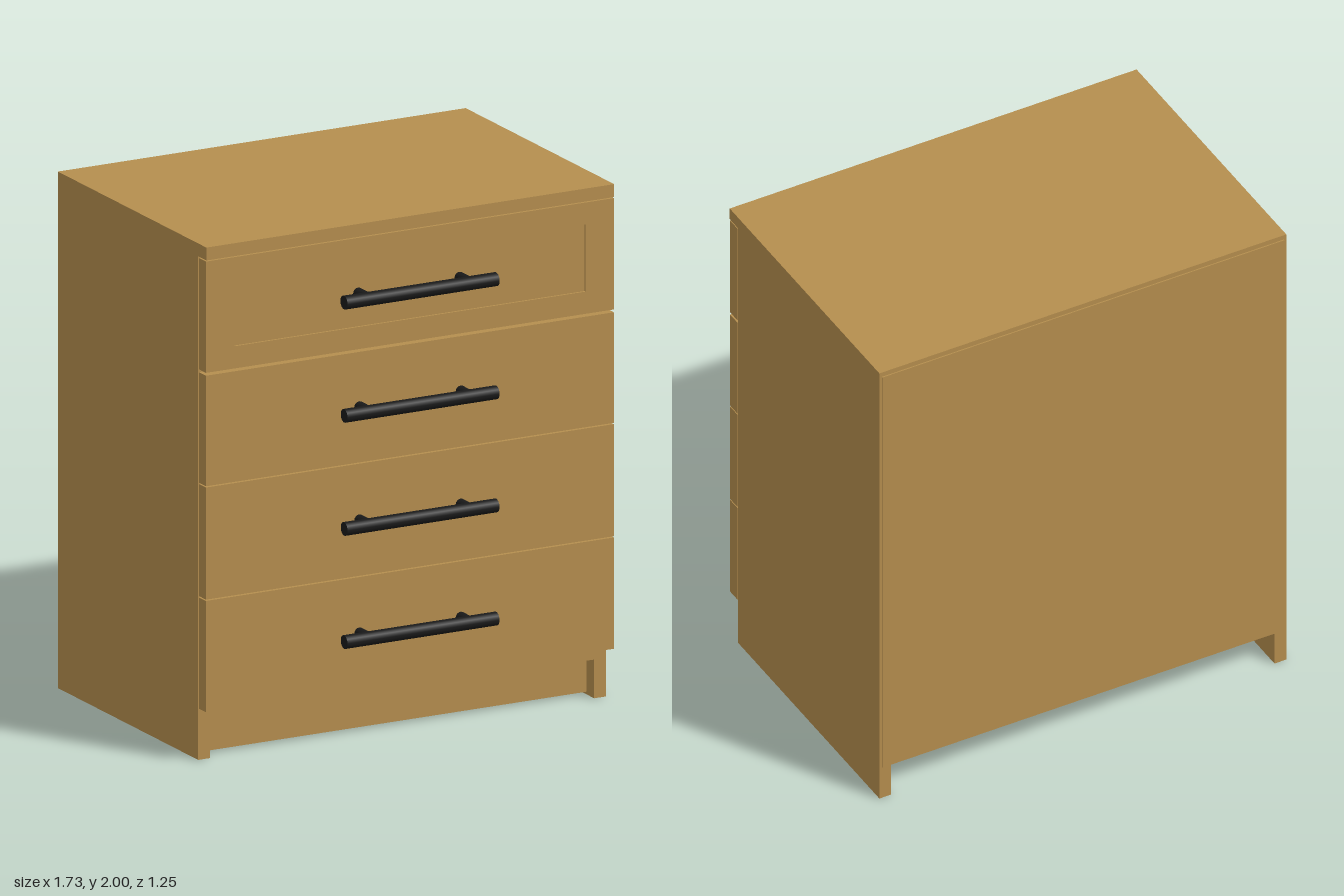
import * as THREE from 'three';

const wood = new THREE.MeshStandardMaterial({ color: 0xb58e4e });
const black = new THREE.MeshStandardMaterial({ color: 0x1a1a1a });

// Box given by its lower and upper limits on each axis
function board(name, [x0, x1], [y0, y1], [z0, z1]) {
  const mesh = new THREE.Mesh(new THREE.BoxGeometry(x1 - x0, y1 - y0, z1 - z0), wood);
  mesh.position.set((x0 + x1) / 2, (y0 + y1) / 2, (z0 + z1) / 2);
  mesh.name = name;
  return mesh;
}

// Round bar on two posts, origin on the drawer face
function makeHandle() {
  const handle = new THREE.Group();
  handle.name = 'handle';
  const bar = new THREE.Mesh(new THREE.CylinderGeometry(0.026, 0.026, 0.645, 20), black);
  bar.name = 'handleBar';
  bar.rotation.z = Math.PI / 2;
  bar.position.z = 0.079;
  handle.add(bar);
  for (const side of [-1, 1]) {
    const post = new THREE.Mesh(new THREE.CylinderGeometry(0.021, 0.021, 0.08, 16), black);
    post.name = 'handlePost';
    post.rotation.x = Math.PI / 2;
    post.position.set(side * 0.215, 0, 0.04);
    handle.add(post);
  }
  return handle;
}

// Drawer front with a shallow rectangular recess
function recessedFront(y0, y1) {
  const shape = new THREE.Shape();
  shape.moveTo(-0.865, y0).lineTo(0.865, y0).lineTo(0.865, y1).lineTo(-0.865, y1).closePath();
  const hole = new THREE.Path();
  hole.moveTo(-0.745, 1.6).lineTo(-0.745, 1.86).lineTo(0.745, 1.86).lineTo(0.745, 1.6).closePath();
  shape.holes.push(hole);
  const frame = new THREE.Mesh(
    new THREE.ExtrudeGeometry(shape, { depth: 0.055, bevelEnabled: false }), wood);
  frame.name = 'drawerFrontFrame';
  frame.position.z = 0.465;
  const front = new THREE.Group();
  front.name = 'drawerFront';
  front.add(frame, board('recessPanel', [-0.745, 0.745], [1.6, 1.86], [0.465, 0.511]));
  return front;
}

export function createModel() {
  const model = new THREE.Group();
  model.name = 'chestOfDrawers';

  // Carcass
  const carcass = new THREE.Group();
  carcass.name = 'carcass';
  carcass.add(
    board('topPanel', [-0.865, 0.865], [1.95, 2], [-0.62, 0.523]),
    board('leftSide', [0.815, 0.865], [0, 1.95], [-0.62, 0.46]),
    board('rightSide', [-0.865, -0.815], [0, 1.95], [-0.62, 0.46]),
    board('bottomPanel', [-0.815, 0.815], [0.15, 0.2], [-0.62, 0.46]),
    board('plinth', [-0.815, 0.815], [0.01, 0.15], [0.35, 0.4]),
    board('backPanel', [-0.855, 0.855], [0.145, 1.98], [-0.625, -0.62]),
  );
  model.add(carcass);

  // Four drawers, bottom to top
  [[0.2, 0.631], [0.636, 1.07], [1.075, 1.503], [1.514, 1.945]].forEach(([y0, y1], i) => {
    const drawer = new THREE.Group();
    drawer.name = 'drawer';
    drawer.add(i === 3 ? recessedFront(y0, y1)
      : board('drawerFront', [-0.865, 0.865], [y0, y1], [0.465, 0.52]));

    // Open box behind the front
    const yBox = [y0 + 0.015, y0 + 0.335];
    drawer.add(
      board('drawerBase', [-0.77, 0.77], [y0 + 0.015, y0 + 0.03], [-0.53, 0.435]),
      board('drawerInnerFront', [-0.77, 0.77], yBox, [0.435, 0.465]),
      board('drawerBack', [-0.77, 0.77], yBox, [-0.56, -0.53]),
      board('drawerSide', [-0.8, -0.77], yBox, [-0.56, 0.465]),
      board('drawerSide', [0.77, 0.8], yBox, [-0.56, 0.465]),
    );

    const handle = makeHandle();
    handle.position.set(0, 0.415 + i * 0.438, i === 3 ? 0.511 : 0.52);
    if (i === 3) handle.scale.z = 1.1;
    drawer.add(handle);
    model.add(drawer);
  });

  return model;
}
